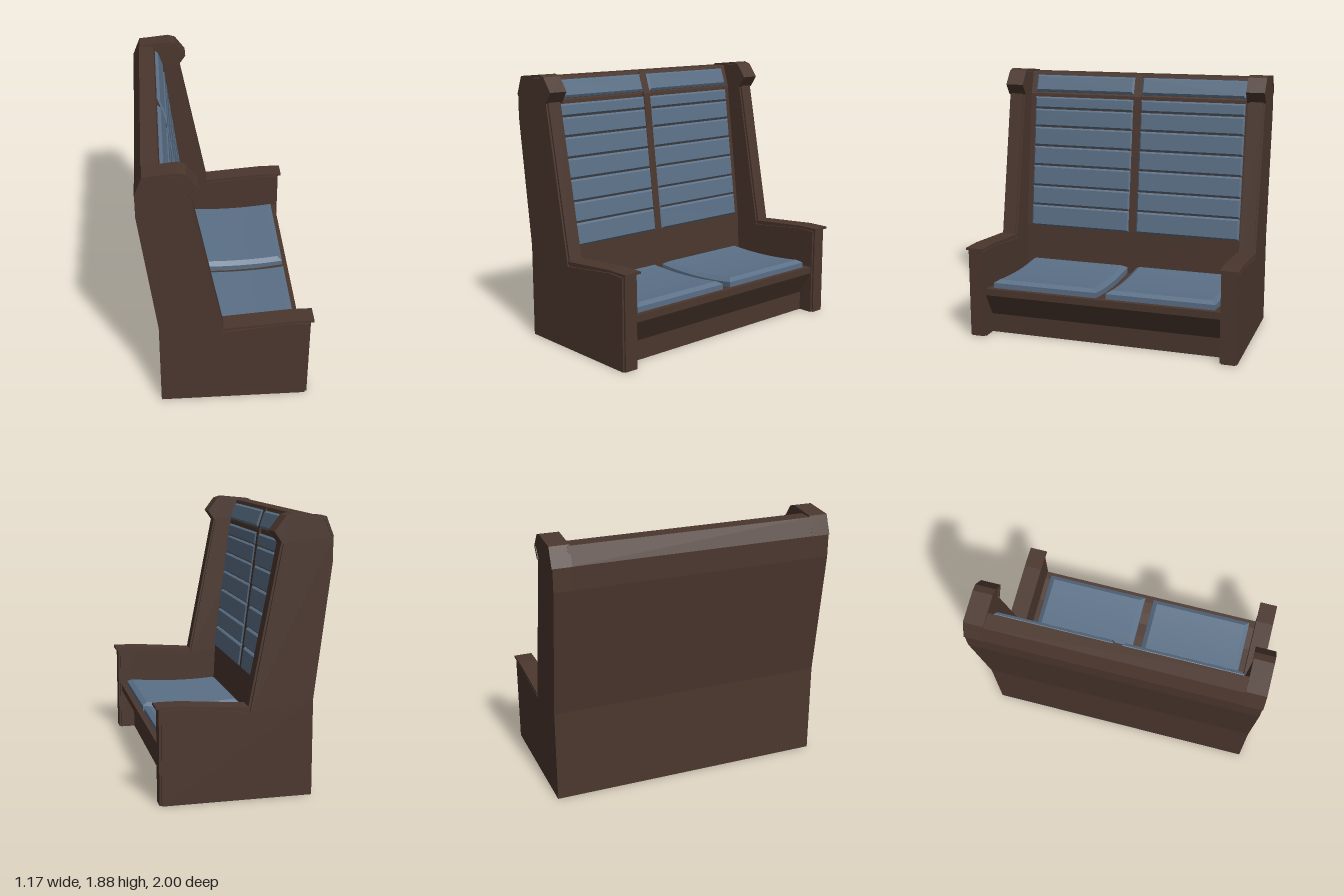
import * as THREE from 'three';

const wood = new THREE.MeshStandardMaterial({ color: 0x4b372e });
wood.name = 'dark wood';
const fabric = new THREE.MeshStandardMaterial({ color: 0x5b7087 });
fabric.name = 'blue upholstery';

// Side profile (x, y) extruded along z between z0 and z1
function slab(name, points, z0, z1) {
  const shape = new THREE.Shape(points.map(([x, y]) => new THREE.Vector2(x, y)));
  const geo = new THREE.ExtrudeGeometry(shape, { depth: z1 - z0, bevelEnabled: false });
  geo.translate(0, 0, z0);
  const mesh = new THREE.Mesh(geo, wood);
  mesh.name = name;
  return mesh;
}

// Upholstered pad facing +y, its top face at y = 0 inset to form a bevel
function pad(name, length, width, thick, bevel, inset, bend) {
  let geo = new THREE.BoxGeometry(length, thick, width, bend ? 12 : 1, 2, 1);
  const p = geo.attributes.position;
  for (let i = 0; i < p.count; i++) {
    let x = p.getX(i), y = p.getY(i) - thick / 2, z = p.getZ(i);
    if (y > -0.0001) {
      x *= 1 - (2 * inset) / length;
      z *= 1 - (2 * inset) / width;
    } else if (y > -thick * 0.75) y = -bevel;
    if (bend) y += bend(x);
    p.setXYZ(i, x, y, z);
  }
  geo = geo.toNonIndexed();
  geo.computeVertexNormals();
  const mesh = new THREE.Mesh(geo, fabric);
  mesh.name = name;
  return mesh;
}

// Pad on the backrest whose face runs between two profile points
function backPad(name, x0, y0, x1, y1, z, thick, bevel, inset) {
  const mesh = pad(name, Math.hypot(x1 - x0, y1 - y0), 0.8, thick, bevel, inset);
  mesh.rotation.z = -Math.PI / 2 + Math.atan2(x0 - x1, y1 - y0);
  mesh.position.set((x0 + x1) / 2, (y0 + y1) / 2, z);
  return mesh;
}

export function createModel() {
  const bench = new THREE.Group();
  bench.name = 'highBackBench';

  // Body: base, seat rail, dished seat and leaning back
  bench.add(slab('body', [
    [-0.47, 0], [0.44, 0], [0.44, 0.14], [0.54, 0.31], [0.54, 0.36], [0.48, 0.358],
    [0.3, 0.335], [0.1, 0.325], [-0.1, 0.327], [-0.235, 0.335], [-0.25, 0.66],
    [-0.38, 1.69], [-0.43, 1.855], [-0.54, 1.855], [-0.585, 1.73], [-0.585, 1.57], [-0.47, 0.66],
  ], -0.88, 0.88));

  for (const side of [1, -1]) {
    const end = new THREE.Group();
    end.name = side > 0 ? 'leftEnd' : 'rightEnd';
    const add = (name, pts, a, b) =>
      end.add(slab(name, pts, side > 0 ? a : -b, side > 0 ? b : -a));

    // End panel with a narrower trim along its front edge
    add('endPanel', [
      [-0.47, 0], [0.548, 0], [0.548, 0.64], [0.42, 0.645], [-0.04, 0.595], [-0.253, 1.7],
      [-0.21, 1.77], [-0.28, 1.86], [-0.53, 1.85], [-0.585, 1.73], [-0.585, 1.57], [-0.47, 0.66],
    ], 0.872, 0.995);
    add('frontTrim', [
      [0.3, 0], [0.562, 0], [0.562, 0.65], [0.42, 0.655], [-0.028, 0.612], [-0.24, 1.7],
      [-0.32, 1.7], [-0.12, 0.55], [0.3, 0.55],
    ], 0.886, 0.982);

    // Armrest board
    add('armrest', [
      [-0.035, 0.612], [0.42, 0.652], [0.583, 0.652], [0.583, 0.668], [0.42, 0.668], [-0.035, 0.632],
    ], 0.866, 0.998);

    // Moulded cap around the head of the panel
    add('headCap', [
      [-0.245, 1.69], [-0.19, 1.77], [-0.265, 1.87], [-0.315, 1.885], [-0.535, 1.863],
      [-0.588, 1.73], [-0.572, 1.73], [-0.525, 1.845], [-0.315, 1.866], [-0.275, 1.852],
      [-0.213, 1.77], [-0.265, 1.7],
    ], 0.864, 1);
    bench.add(end);

    // Seat cushion, following the dished seat
    const z = side * 0.43;
    const seat = pad('seatCushion', 0.74, 0.79, 0.08, 0.025, 0.035,
      (x) => 0.03 * ((x + 0.08) / 0.45) ** 2);
    seat.position.set(0.13, 0.392, z);
    bench.add(seat);

    // Backrest: stacked horizontal pads
    const rows = [0.66, 0.825, 0.975, 1.135, 1.285, 1.435, 1.575, 1.67];
    const xAt = (y) => -0.228 - 0.128 * (y - 0.66);
    for (let i = 0; i < rows.length - 1; i++) {
      const y0 = rows[i] + 0.003, y1 = rows[i + 1] - 0.003;
      bench.add(backPad('backPad', xAt(y0), y0, xAt(y1), y1, z, 0.05, 0.012, 0.012));
    }

    // Head pad above the backrest
    bench.add(backPad('headPad', -0.36, 1.71, -0.403, 1.835, z, 0.05, 0.015, 0.015));
  }

  // Stile between the two halves of the backrest
  bench.add(slab('centreStile', [
    [-0.26, 0.66], [-0.238, 0.66], [-0.367, 1.69], [-0.42, 1.85], [-0.44, 1.85], [-0.39, 1.69],
  ], -0.03, 0.03));

  return bench;
}
